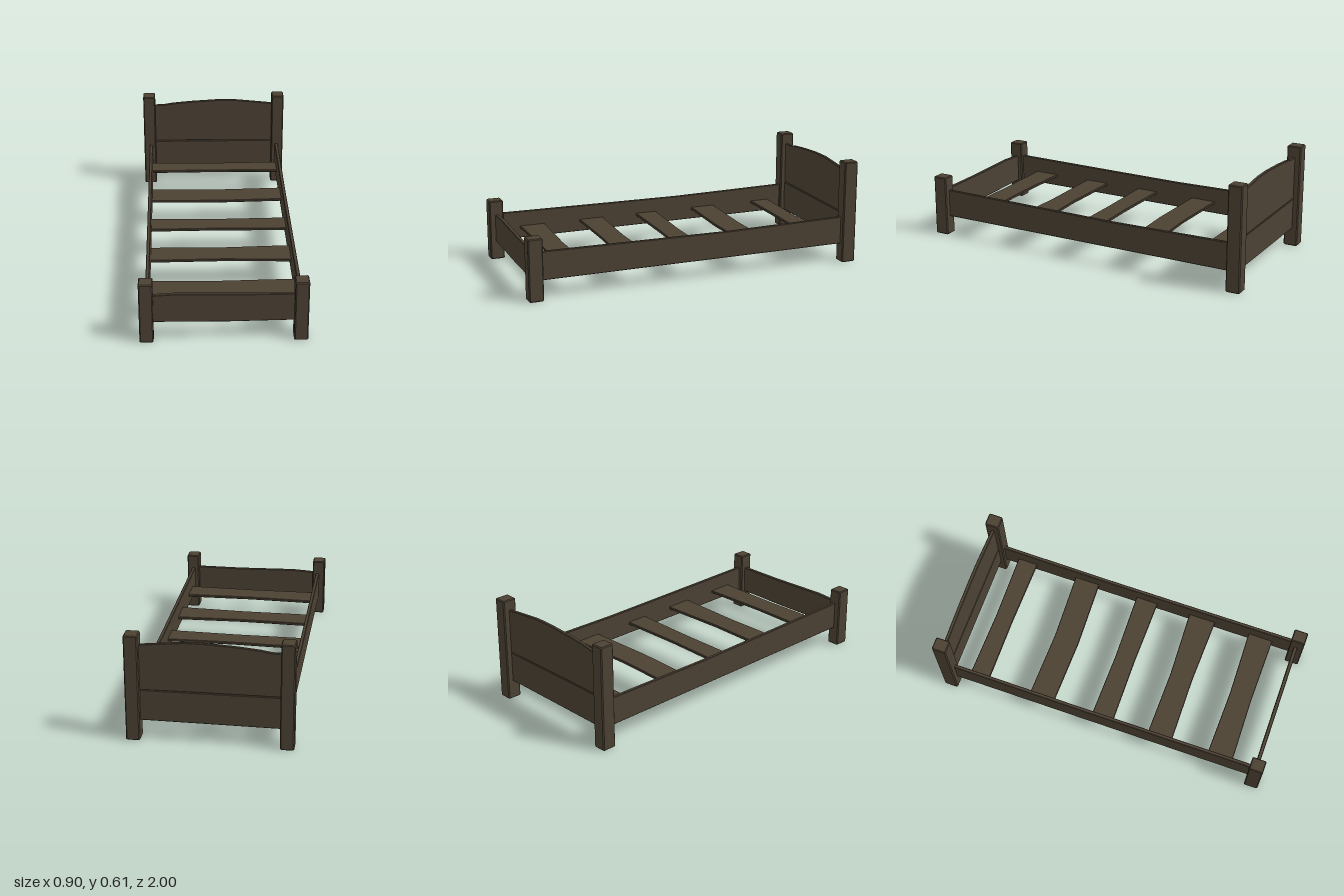
import * as THREE from 'three';

const wood = new THREE.MeshStandardMaterial({ color: 0x4b4133 });
wood.name = 'darkWood';

// Plank cut from a 2D outline, extruded around its own mid-plane with slightly chamfered edges
function plank(name, points, thickness, bevel = 0.003) {
  const shape = new THREE.Shape(points.map(([x, y]) => new THREE.Vector2(x, y)));
  const geometry = new THREE.ExtrudeGeometry(shape, {
    depth: thickness - 2 * bevel,
    bevelEnabled: true,
    bevelThickness: bevel,
    bevelSize: bevel,
    bevelOffset: -bevel,
    bevelSegments: 1,
  });
  geometry.translate(0, 0, bevel - thickness / 2);
  const mesh = new THREE.Mesh(geometry, wood);
  mesh.name = name;
  return mesh;
}

// Square post with chamfered ends and corners, standing on the floor
function post(name, x, z, width, depth, height) {
  const w = width / 2, d = depth / 2, c = 0.006;
  const outline = [
    [-w + c, -d], [w - c, -d], [w, -d + c], [w, d - c],
    [w - c, d], [-w + c, d], [-w, d - c], [-w, -d + c],
  ];
  const mesh = plank(name, outline, height, 0.005);
  mesh.rotation.x = -Math.PI / 2;
  mesh.position.set(x, height / 2, z);
  return mesh;
}

export function createModel() {
  const bed = new THREE.Group();
  bed.name = 'bed';

  // Corner posts: tall at the head, short at the foot
  for (const [side, x] of [['left', 0.412], ['right', -0.417]]) {
    bed.add(post(side + 'HeadPost', x, -0.958, 0.076, 0.084, 0.608));
    bed.add(post(side + 'FootPost', x, 0.957, 0.076, 0.084, 0.357));
  }

  // Headboard: arched upper board over a plain lower board
  const upper = plank('headboardUpper', [
    [-0.39, 0.293], [0, 0.291], [0.39, 0.287], [0.39, 0.546], [0.25, 0.561],
    [0.13, 0.573], [0.01, 0.573], [-0.15, 0.564], [-0.27, 0.553], [-0.33, 0.543], [-0.39, 0.543],
  ], 0.02);
  const lower = plank('headboardLower', [
    [-0.39, 0.108], [0.39, 0.108], [0.39, 0.286], [0, 0.288], [-0.39, 0.29],
  ], 0.022);
  upper.position.z = -0.956;
  lower.position.z = -0.955;
  bed.add(upper, lower);

  // Footboard
  const foot = plank('footboard', [
    [-0.39, 0.109], [0.03, 0.104], [0.39, 0.108], [0.39, 0.272],
    [0.1, 0.272], [-0.25, 0.28], [-0.39, 0.272],
  ], 0.022);
  foot.position.z = 0.954;
  bed.add(foot);

  // Side rails, slightly worn down in the middle
  for (const [side, x] of [['left', 0.408], ['right', -0.41]]) {
    const rail = plank(side + 'Rail', [
      [-0.93, 0.11], [0.93, 0.11], [0.93, 0.274], [0.5, 0.268],
      [0.2, 0.264], [-0.3, 0.268], [-0.93, 0.274],
    ], 0.02);
    rail.rotation.y = Math.PI / 2;
    rail.position.x = x;
    bed.add(rail);
  }

  // Slats: back edge and front edge, each at right end, middle and left end
  const slats = [
    [[-0.835, -0.825, -0.83], [-0.716, -0.717, -0.708]],
    [[-0.455, -0.442, -0.455], [-0.302, -0.29, -0.302]],
    [[-0.062, -0.052, -0.058], [0.07, 0.068, 0.077]],
    [[0.287, 0.296, 0.282], [0.436, 0.432, 0.446]],
    [[0.658, 0.669, 0.66], [0.81, 0.803, 0.81]],
  ];
  slats.forEach(([back, front], i) => {
    const slat = plank('slat' + (i + 1), [
      [-0.402, -front[0]], [0, -front[1]], [0.402, -front[2]],
      [0.402, -back[2]], [0, -back[1]], [-0.402, -back[0]],
    ], 0.016);
    slat.rotation.x = -Math.PI / 2;
    slat.position.y = 0.175;
    bed.add(slat);
  });

  return bed;
}
